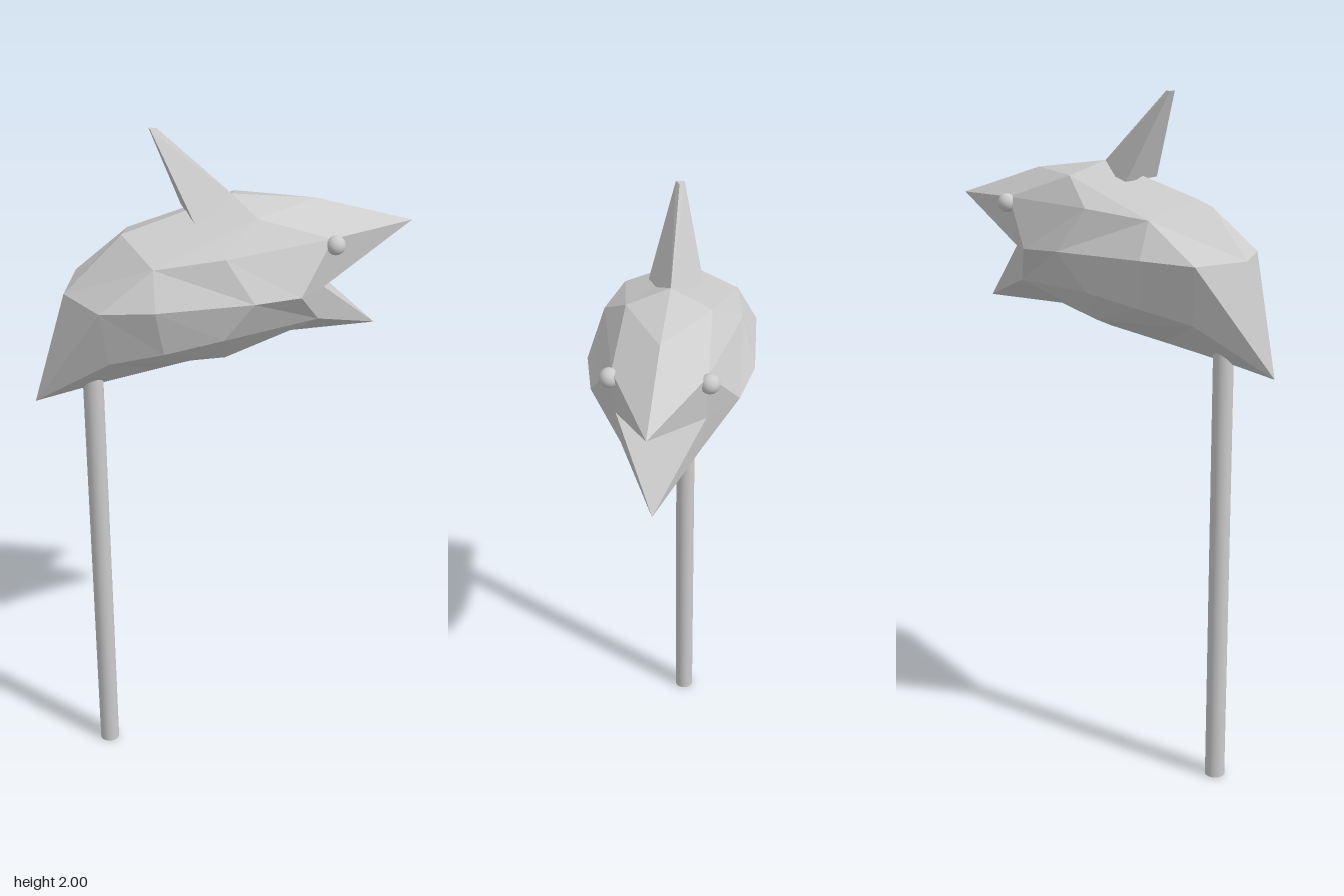
import * as THREE from 'three';

const material = new THREE.MeshStandardMaterial({ color: 0xcccccc, flatShading: true });
const smooth = new THREE.MeshStandardMaterial({ color: 0xcccccc });

// Collects triangles for the +z half and mirrors each one across z = 0
function mirroredShell(name, build) {
  const pos = [];
  const tri = (a, b, c) => {
    const p = [a, b, c].map((v) => new THREE.Vector3(...v));
    const area = p[1].clone().sub(p[0]).cross(p[2].clone().sub(p[0])).length();
    if (area < 1e-6) return; // repeated points collapse to nothing
    pos.push(...a, ...b, ...c);
    for (const v of [a, c, b]) pos.push(v[0], v[1], -v[2]);
  };
  build(tri);
  const geo = new THREE.BufferGeometry();
  geo.setAttribute('position', new THREE.Float32BufferAttribute(pos, 3));
  geo.computeVertexNormals();
  const mesh = new THREE.Mesh(geo, material);
  mesh.name = name;
  return mesh;
}

// Head: half cross-sections from the neck point to the jaws, each listed top to bottom
function makeHead() {
  const neck = [-0.55, 1.245, 0];
  const backTop = [-0.455, 1.56, 0], backSide = [-0.39, 1.56, 0.16], backLow = [-0.36, 1.39, 0.12];
  const crown = [-0.24, 1.67, 0.16];
  const brow = [0.26, 1.765, 0], cheek = [0.27, 1.69, 0.125], hinge = [0.16, 1.56, 0.2];
  const jaw = [0.24, 1.45, 0.11], chin = [0.18, 1.37, 0];
  const corner = [0.25, 1.55, 0.12], throat = [0.25, 1.55, 0];
  const upperTip = [0.55, 1.67, 0], lowerTip = [0.45, 1.365, 0];
  const rings = [
    Array(7).fill(neck),
    [backTop, backTop, backSide, backSide, backLow, backLow, [-0.37, 1.275, 0]],
    [[-0.29, 1.715, 0], crown, crown, [-0.25, 1.57, 0.215], [-0.22, 1.43, 0.18], [-0.2, 1.37, 0.11], [-0.19, 1.3, 0]],
    [[0.02, 1.8, 0], [0.06, 1.765, 0.115], [-0.05, 1.69, 0.19], [0.02, 1.57, 0.23], [-0.06, 1.46, 0.2], [-0.03, 1.365, 0.11], [0, 1.325, 0]],
    [brow, brow, cheek, hinge, jaw, jaw, chin],
  ];
  return mirroredShell('head', (tri) => {
    for (let i = 0; i < rings.length - 1; i++) {
      for (let j = 0; j < 6; j++) {
        const a = rings[i][j], b = rings[i][j + 1], c = rings[i + 1][j + 1], d = rings[i + 1][j];
        tri(a, b, c);
        tri(a, c, d);
      }
    }
    // Mouth corners
    tri(cheek, hinge, corner);
    tri(hinge, jaw, corner);
    // Upper jaw
    tri(brow, cheek, upperTip);
    tri(cheek, corner, upperTip);
    tri(corner, throat, upperTip);
    // Lower jaw
    tri(corner, jaw, lowerTip);
    tri(jaw, chin, lowerTip);
    tri(corner, lowerTip, throat);
  });
}

// Fin: leaning pyramid with a tiny flat tip, its base sunk into the head
function makeFin() {
  const front = [0.045, 1.775, 0], side = [-0.105, 1.755, 0.075], back = [-0.105, 1.755, 0];
  const tipFront = [-0.185, 2, 0], tipSide = [-0.205, 2, 0.012], tipBack = [-0.205, 2, 0];
  return mirroredShell('fin', (tri) => {
    tri(tipSide, side, front);
    tri(tipSide, front, tipFront);
    tri(tipBack, back, side);
    tri(tipBack, side, tipSide);
    tri(tipBack, tipSide, tipFront);
    tri(back, front, side);
  });
}

export function createModel() {
  const model = new THREE.Group();
  model.name = 'hobbyHorseStyleToy';
  model.add(makeHead(), makeFin());

  // Eyes
  for (const s of [1, -1]) {
    const eye = new THREE.Mesh(new THREE.SphereGeometry(0.027, 20, 14), smooth);
    eye.name = s > 0 ? 'frontEye' : 'backEye';
    eye.position.set(0.277, 1.673, s * 0.13);
    model.add(eye);
  }

  // Stick
  const stick = new THREE.Mesh(new THREE.CylinderGeometry(0.029, 0.029, 1.31, 24), smooth);
  stick.name = 'stick';
  stick.position.set(-0.385, 0.655, 0);
  model.add(stick);

  return model;
}
